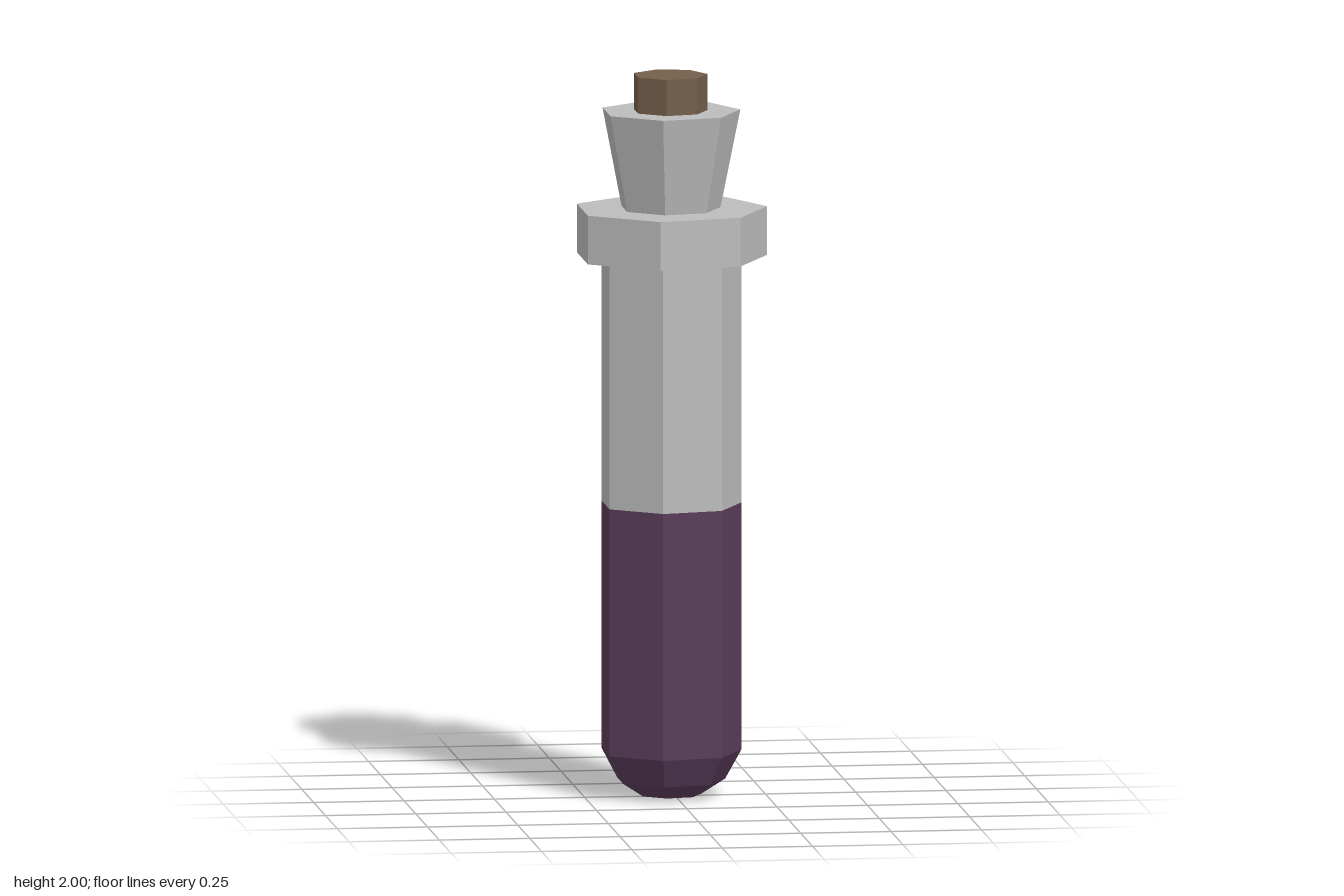
import * as THREE from 'three';

const SIDES = 7;

export function createModel() {
  const model = new THREE.Group();
  model.name = 'vial';

  const material = (name, color) => {
    const m = new THREE.MeshStandardMaterial({ color, flatShading: true });
    m.name = name;
    return m;
  };
  const glass = material('grey glass', 0xbcbcbc);
  const liquid = material('purple liquid', 0x5a3d5a);
  const cork = material('brown cork', 0x735f4b);

  // Seven-sided turned part with one corner towards +x; profile is [radius, y], bottom to top
  const addTurned = (name, mat, profile) => {
    const points = profile.map(([r, y]) => new THREE.Vector2(r, y));
    const mesh = new THREE.Mesh(new THREE.LatheGeometry(points, SIDES, Math.PI / 2), mat);
    mesh.name = name;
    mesh.position.x = -0.014; // centres the uneven heptagon's bounds
    model.add(mesh);
  };

  // Filled lower tube with its rounded base
  addTurned('filledTube', liquid, [[0, 0], [0.088, 0.005], [0.153, 0.045], [0.198, 0.125], [0.198, 0.81]]);
  // Empty upper tube
  addTurned('upperTube', glass, [[0.198, 0.81], [0.198, 1.5]]);
  // Collar
  addTurned('collar', glass, [[0, 1.495], [0.269, 1.495], [0.269, 1.63], [0, 1.63]]);
  // Flared neck
  addTurned('neck', glass, [[0.14, 1.63], [0.195, 1.9], [0, 1.9]]);
  // Stopper
  addTurned('stopper', cork, [[0.104, 1.9], [0.104, 2], [0, 2]]);

  return model;
}
